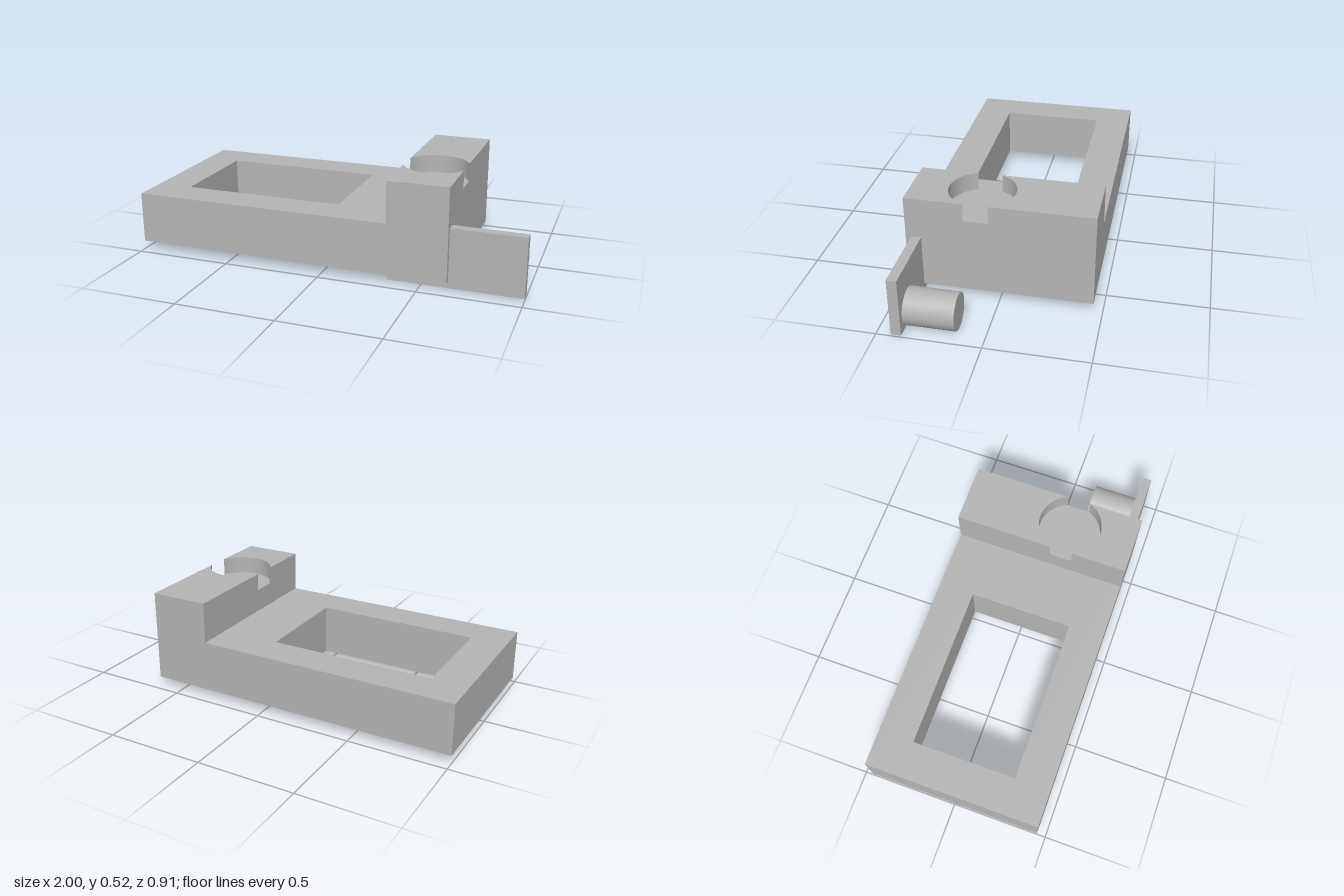
import * as THREE from 'three';
import { toCreasedNormals } from 'three/addons/utils/BufferGeometryUtils.js';

const X0 = -1, X1 = 0.333, X2 = 0.637; // base end, block inner face, block outer face
const HALF_Z = 0.455;
const BOTTOM = 0.044, SLAB_TOP = 0.306, POCKET_FLOOR = 0.427, BLOCK_TOP = 0.518;

export function createModel() {
  const group = new THREE.Group();
  const grey = new THREE.MeshStandardMaterial({ color: 0xb4b4b4 });
  grey.name = 'plain grey';

  const add = (name, geometry) => {
    const mesh = new THREE.Mesh(geometry, grey);
    mesh.name = name;
    group.add(mesh);
    return mesh;
  };

  // Box given by its limits on each axis
  const box = (name, xa, xb, ya, yb, za, zb) =>
    add(name, new THREE.BoxGeometry(xb - xa, yb - ya, zb - za))
      .position.set((xa + xb) / 2, (ya + yb) / 2, (za + zb) / 2);

  // Plan outline in (x, z), extruded between two heights
  const slab = (name, shape, ya, yb) => {
    const geometry = new THREE.ExtrudeGeometry(shape, { depth: yb - ya, bevelEnabled: false, curveSegments: 32 });
    geometry.rotateX(Math.PI / 2).translate(0, yb, 0);
    add(name, toCreasedNormals(geometry, 0.5));
  };

  const rectangle = (Type, xa, xb, half) => new Type([
    [xa, -half], [xb, -half], [xb, half], [xa, half],
  ].map(([x, z]) => new THREE.Vector2(x, z)));

  // Flat base with a rectangular window
  const base = rectangle(THREE.Shape, X0, X2, HALF_Z);
  base.holes.push(rectangle(THREE.Path, -0.815, 0.028, 0.27));
  slab('baseFrame', base, BOTTOM, SLAB_TOP);

  // Raised block up to the pocket floor
  box('raisedBlock', X1, X2, SLAB_TOP, POCKET_FLOOR, -HALF_Z, HALF_Z);

  // Block top on either side of the round pocket, which breaks through both faces
  const cx = (X1 + X2) / 2, cz = 0.11, halfOpening = 0.06;
  const halfWidth = (X2 - X1) / 2;
  const radius = Math.hypot(halfWidth, halfOpening);
  const angle = Math.atan2(halfOpening, halfWidth);
  for (const side of [1, -1]) {
    const shape = new THREE.Shape();
    shape.moveTo(X1, side * HALF_Z);
    shape.lineTo(X2, side * HALF_Z);
    shape.lineTo(X2, cz + side * halfOpening);
    shape.absarc(cx, cz, radius, side * angle, side * (Math.PI - angle), side < 0);
    shape.closePath();
    slab(side > 0 ? 'pocketFrontWall' : 'pocketBackWall', shape, POCKET_FLOOR, BLOCK_TOP);
  }

  // Thin side plate set into the block, with a round peg behind it
  box('sidePlate', X1, 1, 0.009, 0.311, 0.378, 0.427);
  const peg = add('peg', new THREE.CylinderGeometry(0.092, 0.092, 0.243, 48));
  peg.rotation.x = Math.PI / 2;
  peg.position.set(0.878, 0.092, 0.2565);

  return group;
}
